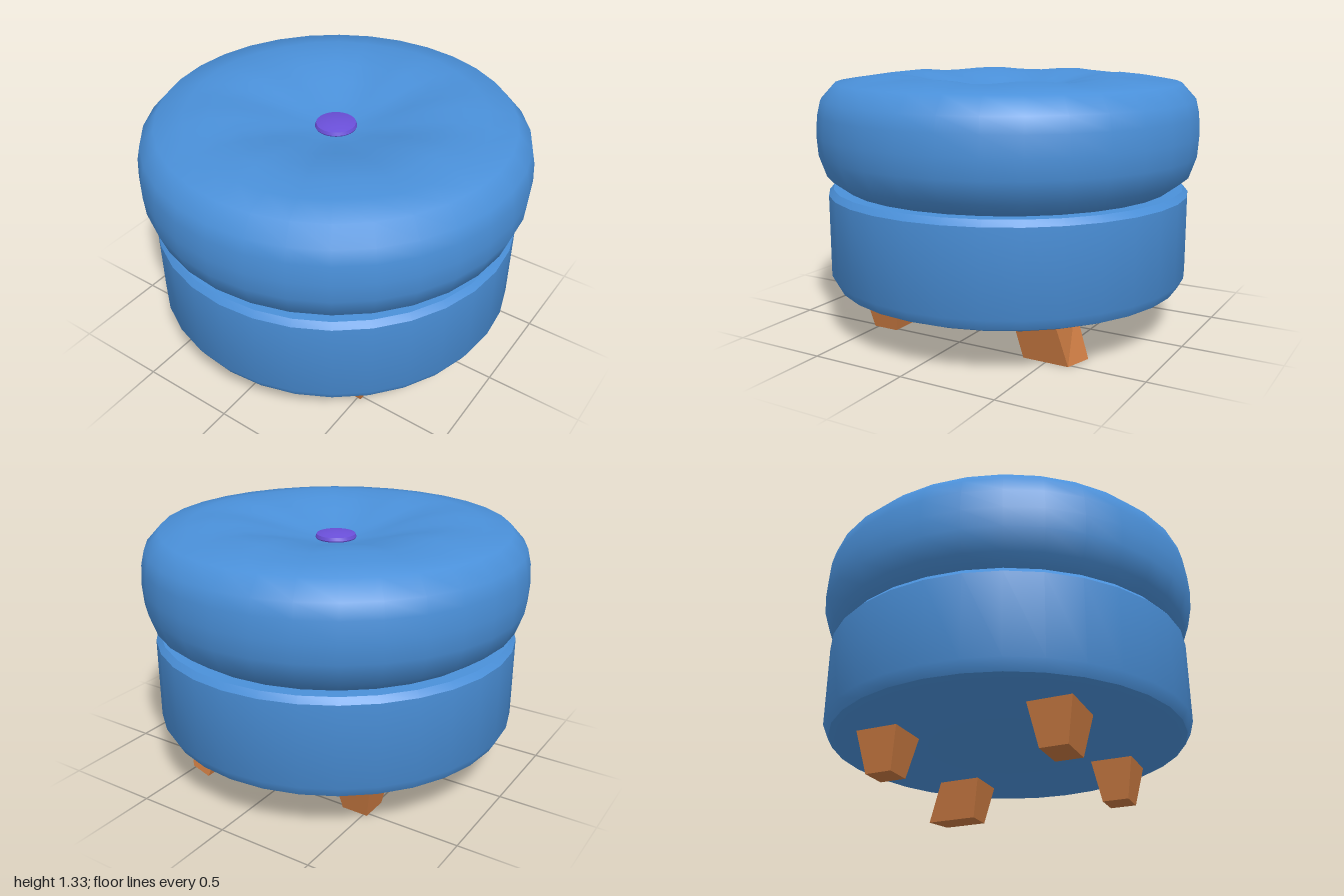
import * as THREE from 'three';
import { toCreasedNormals } from 'three/addons/utils/BufferGeometryUtils.js';

const SIDES = 32;
const fabric = new THREE.MeshStandardMaterial({ color: 0x4a90d9 });
const wood = new THREE.MeshStandardMaterial({ color: 0xc87941, flatShading: true });
const buttonColor = new THREE.MeshStandardMaterial({ color: 0x6a4fd8 });

function part(name, geometry, material) {
  const mesh = new THREE.Mesh(geometry, material);
  mesh.name = name;
  return mesh;
}

// Profile points run from the bottom up
function lathe(profile, sides = SIDES) {
  return new THREE.LatheGeometry(profile.map(([r, y]) => new THREE.Vector2(r, y)), sides);
}

// Soft cushion with a dip in the middle and slight puckers around the crown
function cushionGeometry() {
  const geo = lathe([
    [0, 0.75], [0.86, 0.75], [0.955, 0.82], [0.993, 0.93], [1, 1.03], [0.993, 1.13],
    [0.975, 1.205], [0.9, 1.287], [0.76, 1.308], [0.63, 1.32], [0.5, 1.308],
    [0.36, 1.278], [0.22, 1.24], [0.1, 1.215], [0, 1.21],
  ]);
  const pos = geo.attributes.position;
  for (let i = 0; i < pos.count; i++) {
    const x = pos.getX(i), y = pos.getY(i), z = pos.getZ(i);
    const r = Math.hypot(x, z);
    if (y > 1.2 && r > 0.2 && r < 0.85) {
      const fade = Math.sin(Math.PI * (r - 0.2) / 0.65);
      pos.setY(i, y + 0.009 * fade * Math.sin(8 * Math.atan2(z, x) + 0.6));
    }
  }
  return toCreasedNormals(geo, 0.9);
}

// Four-sided leg: each rectangle is [x0, x1, z0, z1]; splay shifts one bottom corner
function legGeometry(top, bottom, splay = 0) {
  const geo = new THREE.BoxGeometry(1, 1, 1);
  const pos = geo.attributes.position;
  for (let i = 0; i < pos.count; i++) {
    const isTop = pos.getY(i) > 0, right = pos.getX(i) > 0, front = pos.getZ(i) > 0;
    const [x0, x1, z0, z1] = isTop ? top : bottom;
    const shift = !isTop && right && !front ? splay : 0;
    pos.setXYZ(i, right ? x1 : x0, isTop ? 0.23 : 0, (front ? z1 : z0) + shift);
  }
  geo.computeVertexNormals();
  return geo;
}

export function createModel() {
  const model = new THREE.Group();
  model.name = 'ottoman';

  // Round base with a crisp upper rim and a rounded underside
  const base = lathe([
    [0, 0.215], [0.86, 0.215], [0.92, 0.24], [0.95, 0.295],
    [0.95, 0.72], [0.925, 0.75], [0, 0.75],
  ]);
  model.add(part('base', toCreasedNormals(base, 0.66), fabric));
  model.add(part('cushion', cushionGeometry(), fabric));

  // Tufting button with a gently domed top
  const button = lathe([
    [0, 1.195], [0.095, 1.2], [0.106, 1.222], [0.1, 1.238], [0.06, 1.248], [0, 1.252],
  ]);
  model.add(part('button', toCreasedNormals(button, 0.8), buttonColor));

  // Legs: two regular, one wider, one splayed backwards
  const legs = new THREE.Group();
  legs.name = 'legs';
  legs.add(
    part('frontLeftLeg', legGeometry([0.335, 0.565, 0.335, 0.565], [0.38, 0.52, 0.38, 0.52]), wood),
    part('backRightLeg', legGeometry([-0.565, -0.335, -0.565, -0.335], [-0.52, -0.38, -0.52, -0.38]), wood),
    part('frontRightLeg', legGeometry([-0.565, -0.28, 0.335, 0.565], [-0.52, -0.32, 0.38, 0.52]), wood),
    part('backLeftLeg', legGeometry([0.335, 0.565, -0.565, -0.335], [0.38, 0.52, -0.66, -0.38], 0.04), wood),
  );
  model.add(legs);
  return model;
}
